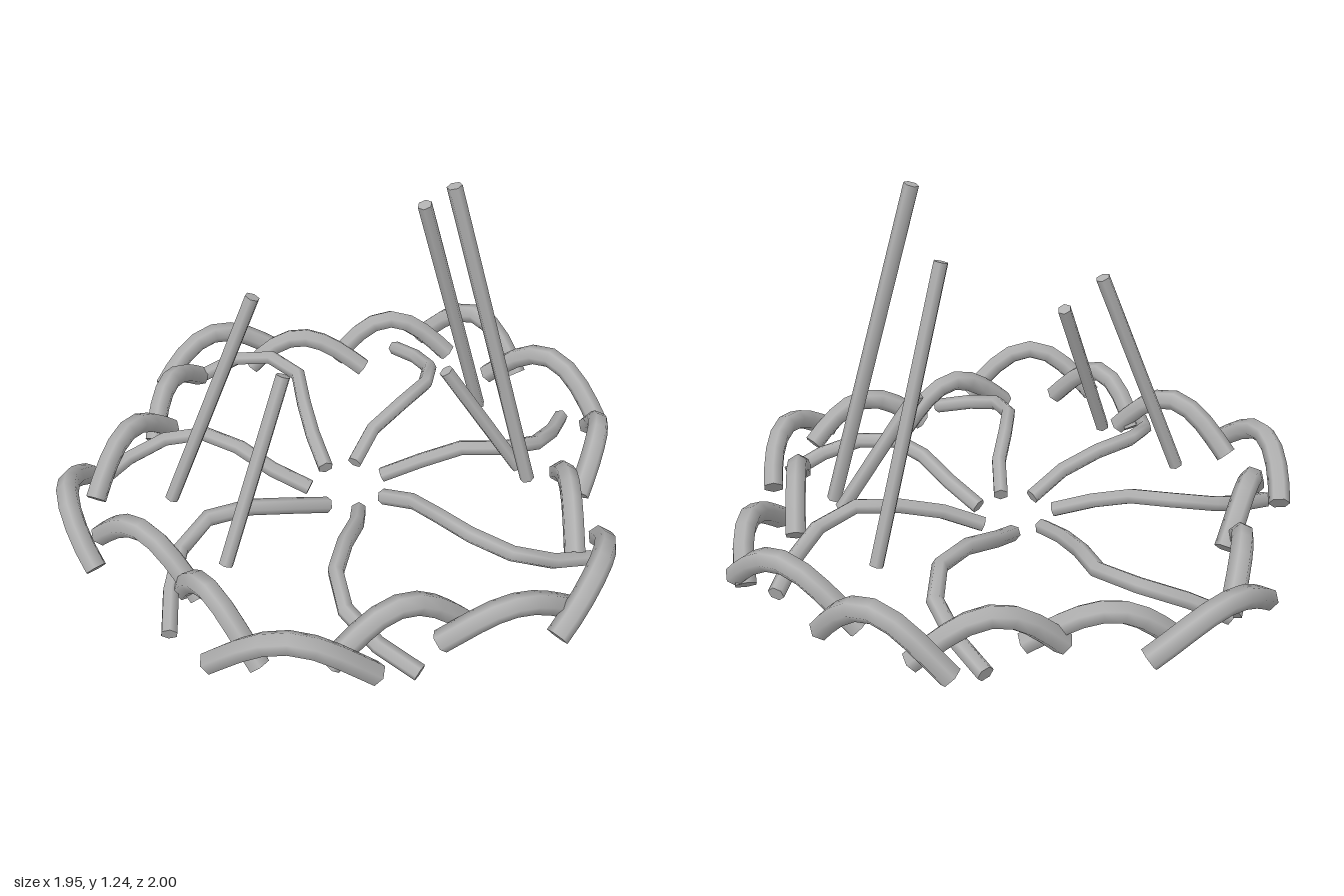
import * as THREE from 'three';
import { mergeGeometries } from 'three/addons/utils/BufferGeometryUtils.js';

const SIDES = 6;

// Closed tube along a curve: smooth side, flat end caps
function rod(curve, segments, radius) {
  const side = new THREE.TubeGeometry(curve, segments, radius, SIDES);
  const pos = side.attributes.position;
  const caps = [0, segments].map((ring, end) => {
    const points = [], index = [], uv = [];
    for (let i = 0; i < SIDES; i++) {
      points.push(new THREE.Vector3().fromBufferAttribute(pos, ring * (SIDES + 1) + i));
      uv.push(0, 0);
    }
    const out = curve.getTangentAt(end).multiplyScalar(end ? 1 : -1);
    const n = points[1].clone().sub(points[0]).cross(points[2].clone().sub(points[0]));
    if (n.dot(out) < 0) points.reverse();
    for (let i = 1; i < SIDES - 1; i++) index.push(0, i, i + 1);
    const cap = new THREE.BufferGeometry().setFromPoints(points);
    cap.setAttribute('uv', new THREE.Float32BufferAttribute(uv, 2));
    cap.setIndex(index);
    cap.computeVertexNormals();
    return cap;
  });
  return mergeGeometries([side, ...caps]);
}

// Arches of the rim: start x,z, middle x,z, end x,z, crest height
const ARCHES = [
  [-0.02, -0.96, 0.24, -0.94, 0.46, -0.80, 0.17],
  [0.31, -0.80, 0.46, -0.66, 0.59, -0.45, 0.16],
  [0.55, -0.56, 0.73, -0.43, 0.87, -0.24, 0.21],
  [0.88, -0.39, 0.94, -0.16, 0.91, 0.07, 0.245],
  [0.84, -0.02, 0.885, 0.23, 0.84, 0.49, 0.235],
  [0.84, 0.45, 0.69, 0.57, 0.47, 0.64, 0.175],
  [0.53, 0.52, 0.36, 0.66, 0.18, 0.81, 0.175],
  [0.33, 0.81, 0.11, 0.94, -0.15, 0.955, 0.17],
  [-0.01, 0.92, -0.23, 0.84, -0.40, 0.69, 0.165],
  [-0.29, 0.69, -0.49, 0.60, -0.70, 0.50, 0.205],
  [-0.65, 0.64, -0.845, 0.47, -0.94, 0.23, 0.245],
  [-0.85, 0.35, -0.835, 0.13, -0.77, -0.06, 0.235],
  [-0.76, 0.00, -0.78, -0.22, -0.77, -0.46, 0.23],
  [-0.88, -0.36, -0.79, -0.59, -0.575, -0.76, 0.19],
  [-0.65, -0.63, -0.42, -0.70, -0.20, -0.73, 0.19],
  [-0.28, -0.73, -0.10, -0.83, 0.12, -0.90, 0.17],
];

// Bent spokes on the floor, x,z from the centre outwards
const SPOKES = [
  [-0.11, -0.11, -0.18, -0.28, -0.20, -0.41, -0.25, -0.55, -0.39, -0.66, -0.59, -0.70],
  [0.01, -0.14, 0.13, -0.34, 0.28, -0.53, 0.275, -0.70, 0.21, -0.82, 0.13, -0.90],
  [0.10, -0.08, 0.26, -0.11, 0.42, -0.09, 0.58, -0.11, 0.70, -0.22, 0.78, -0.44],
  [0.11, 0.04, 0.21, 0.15, 0.32, 0.25, 0.42, 0.37, 0.58, 0.41, 0.82, 0.34],
  [0.02, 0.12, 0.01, 0.28, -0.04, 0.45, -0.04, 0.58, 0.03, 0.74, 0.22, 0.84],
  [-0.09, 0.10, -0.21, 0.19, -0.36, 0.26, -0.51, 0.36, -0.57, 0.51, -0.54, 0.72],
  [-0.14, 0.00, -0.29, -0.05, -0.44, -0.13, -0.59, -0.18, -0.75, -0.12, -0.92, 0.03],
];

// Straight leaning sticks: foot x,y,z, tip x,y,z
const STICKS = [
  [0.355, 0.115, 0.495, 0.18, 1.24, 0.25],
  [0.60, 0.115, 0.107, 0.30, 1.06, 0.05],
  [-0.635, 0.115, 0.00, -0.34, 0.70, 0.00],
  [-0.52, 0.115, -0.375, -0.27, 0.88, -0.19],
  [0.39, 0.115, 0.43, 0.21, 0.53, 0.23],
];

export function createModel() {
  const model = new THREE.Group();
  const grey = new THREE.MeshStandardMaterial({ color: 0xb0b0b0 });
  grey.name = 'grey';
  const add = (group, name, geometry) => {
    const mesh = new THREE.Mesh(geometry, grey);
    mesh.name = name;
    group.add(mesh);
  };
  const section = (name) => {
    const group = new THREE.Group();
    group.name = name;
    model.add(group);
    return group;
  };

  // Rim: overlapping arches, bowed in plan and raised in the middle; taller ones start higher
  const rim = section('rim');
  ARCHES.forEach(([x0, z0, xm, zm, x1, z1, crest]) => {
    const plan = new THREE.QuadraticBezierCurve(
      new THREE.Vector2(x0, z0),
      new THREE.Vector2(2 * xm - (x0 + x1) / 2, 2 * zm - (z0 + z1) / 2),
      new THREE.Vector2(x1, z1));
    const foot = 0.4 * crest - 0.023;
    const points = plan.getPoints(8).map((p, i) =>
      new THREE.Vector3(p.x, foot + (crest - foot) * Math.sin(Math.PI * i / 8), p.y));
    add(rim, 'rimArch', rod(new THREE.CatmullRomCurve3(points), 8, 0.038));
  });

  // Spokes: low, slightly arched
  const spokes = section('spokes');
  SPOKES.forEach((xz) => {
    const points = [];
    for (let i = 0; i < 6; i++) {
      points.push(new THREE.Vector3(xz[2 * i], 0.043 + 0.112 * Math.sin(Math.PI * i / 5), xz[2 * i + 1]));
    }
    add(spokes, 'spoke', rod(new THREE.CatmullRomCurve3(points), 6, 0.028));
  });

  // Sticks: leaning towards the middle
  const sticks = section('sticks');
  STICKS.forEach(([x0, y0, z0, x1, y1, z1]) => {
    const line = new THREE.LineCurve3(new THREE.Vector3(x0, y0, z0), new THREE.Vector3(x1, y1, z1));
    add(sticks, 'stick', rod(line, 1, 0.025));
  });
  return model;
}
